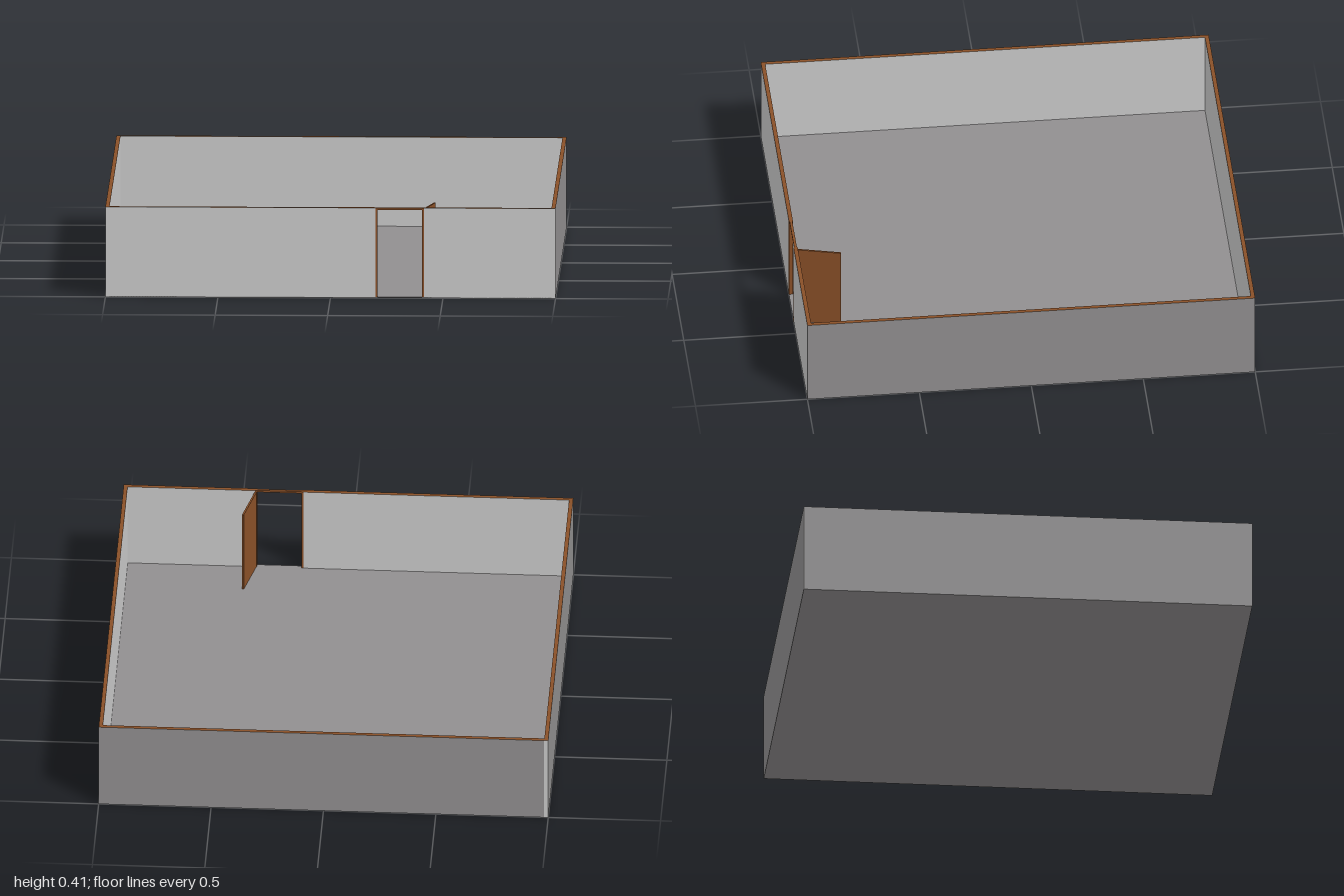
import * as THREE from 'three';

export function createModel() {
  const room = new THREE.Group();
  room.name = 'room';

  const mat = (name, color) => {
    const m = new THREE.MeshStandardMaterial({ color });
    m.name = name;
    return m;
  };
  const light = mat('lightWall', 0xcbcbcb);
  const dark = mat('greyFloor', 0x918f90);
  const brown = mat('brownWood', 0x8a5028);

  // Box between two corners; materials may be an array ordered +x -x +y -y +z -z
  const box = (name, min, max, material, parent = room) => {
    const size = max.map((v, i) => v - min[i]);
    const mesh = new THREE.Mesh(new THREE.BoxGeometry(...size), material);
    mesh.position.set(...max.map((v, i) => (v + min[i]) / 2));
    mesh.name = name;
    parent.add(mesh);
    return mesh;
  };

  const H = 0.405, T = 0.018, I = 1 - T;
  const doorL = 0.2, doorR = 0.415, post = 0.009;

  // Floor
  box('floor', [-I, 0, -I], [I, 0.004, 1], dark);

  // Walls: light inside, grey outside, brown along the top
  box('rightWall', [-1, 0, -1], [-I, H, 1], [light, dark, brown, dark, light, light]);
  box('leftWall', [I, 0, -1], [1, H, 1], [dark, light, brown, dark, light, dark]);
  box('backWall', [-I, 0, -1], [I, H, -I], [light, light, brown, dark, light, dark]);

  // Front wall on both sides of the doorway
  const frontMats = [brown, brown, brown, dark, light, light];
  box('frontWallRight', [-I, 0, I], [doorL, H, 1], frontMats);
  box('frontWallLeft', [doorR, 0, I], [I, H, 1], frontMats);

  // Door frame
  const frame = new THREE.Group();
  frame.name = 'doorFrame';
  room.add(frame);
  for (const x of [doorL, doorR - post]) {
    box('framePost', [x, 0, I], [x + post, H, 1], brown, frame);
  }
  box('frameLintel', [doorL + post, H - 0.009, 0.985], [doorR - post, H, 0.997], brown, frame);

  // Open door, swung inward on its hinge
  const door = new THREE.Group();
  door.name = 'door';
  door.position.set(0.412, 0, 0.985);
  door.rotation.y = 1.333;
  box('doorPanel', [0, 0.005, -0.004], [0.197, H - 0.008, 0.004], brown, door);
  room.add(door);

  return room;
}
